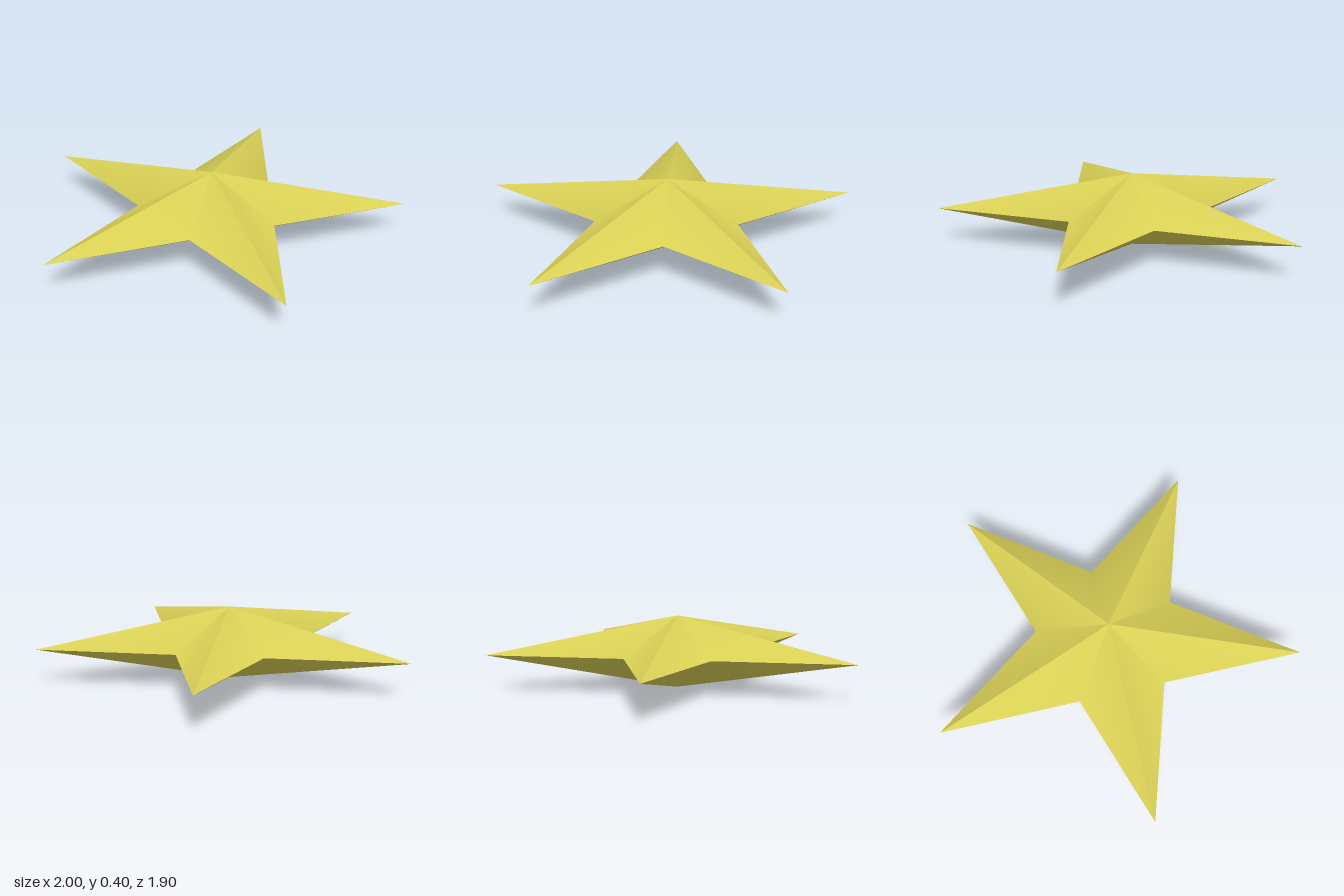
import * as THREE from 'three';
import { toCreasedNormals } from 'three/addons/utils/BufferGeometryUtils.js';

const POINTS = 5;
const OUTER = 1 / Math.cos(Math.PI / 10); // side tips reach x = ±1
const INNER = 0.4;
const HALF_HEIGHT = 0.2;
const CENTRE_Z = 0.1;

// Rim corner i: even corners are tips, odd corners are notches
function rimCorner(i) {
  const angle = (i * Math.PI) / POINTS;
  const radius = i % 2 === 0 ? OUTER : INNER;
  return [radius * Math.sin(angle), 0, -radius * Math.cos(angle)];
}

// Rim joined to a peak above and a peak below
function starGeometry() {
  const top = [0, HALF_HEIGHT, 0];
  const bottom = [0, -HALF_HEIGHT, 0];
  const positions = [];
  for (let i = 0; i < POINTS * 2; i++) {
    const a = rimCorner(i);
    const b = rimCorner((i + 1) % (POINTS * 2));
    positions.push(...top, ...b, ...a);
    positions.push(...bottom, ...a, ...b);
  }
  const geometry = new THREE.BufferGeometry();
  geometry.setAttribute('position', new THREE.Float32BufferAttribute(positions, 3));
  // Valleys blend softly; ridges and rim stay sharp
  return toCreasedNormals(geometry, THREE.MathUtils.degToRad(45));
}

export function createModel() {
  const group = new THREE.Group();
  group.name = 'starOrnament';

  const material = new THREE.MeshStandardMaterial({ color: 0xd8cf55 });
  const star = new THREE.Mesh(starGeometry(), material);
  star.name = 'star';
  star.position.set(0, HALF_HEIGHT, CENTRE_Z);
  group.add(star);

  return group;
}
